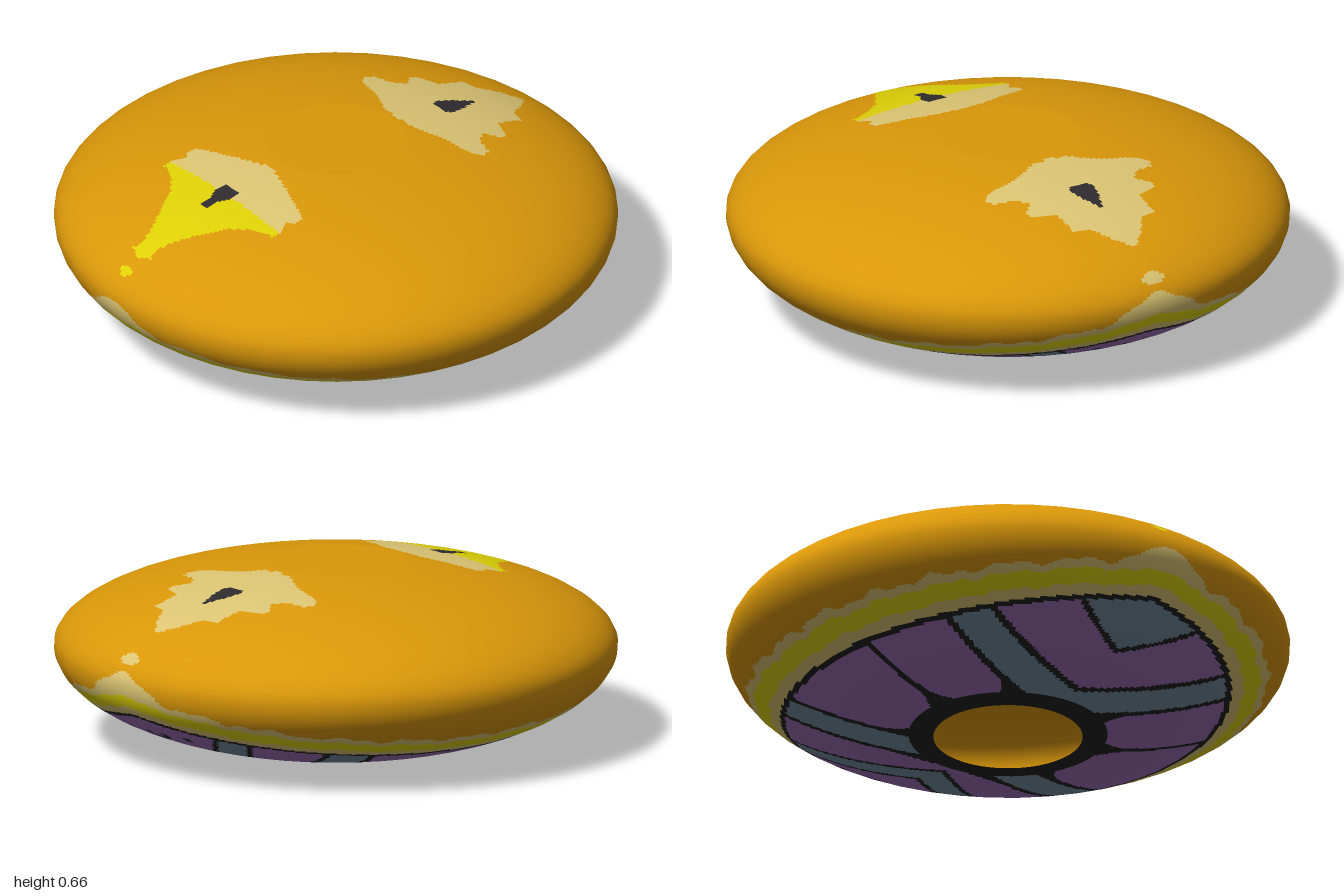
import * as THREE from 'three';

const SEGMENTS = 384, SIDES = 48, MID = 0.355;
const TOP_R = 0.25, HOLE_R = 0.265, TOP_H = 0.3, LOW_H = 0.369;

const material = (name, color) => {
  const m = new THREE.MeshStandardMaterial({ color, side: THREE.DoubleSide });
  m.name = name;
  return m;
};

// Heights of the flattened upper and lower bowls at radius r
const upperY = r => MID + TOP_H * Math.sqrt(Math.max(0, 1 - r * r)) + 0.15 * Math.max(0, 0.33 - r);
const lowerY = r => MID - LOW_H * Math.sqrt(Math.max(0, 1 - r * r));

// Profile from the edge of the bottom hole, round the rim, to the flat top
function profile() {
  const points = [];
  const a = Math.acos(HOLE_R), b = Math.acos(TOP_R), n = 84, m = 86;
  for (let i = 0; i < n; i++) {
    const f = a * (1 - i / n), r = Math.cos(f);
    points.push({ r, y: Math.max(0, lowerY(r)), nr: r, ny: -Math.sin(f) / LOW_H });
  }
  for (let i = 0; i <= m; i++) {
    const f = b * i / m, r = Math.cos(f);
    points.push({ r, y: upperY(r), nr: r, ny: Math.sin(f) / TOP_H });
  }
  return points;
}

// Half outlines of the top patches as [x, z], mirrored across z
const LEFT_PATCH = [[0.27, 0], [0.275, 0.07], [0.33, 0.19], [0.36, 0.32], [0.4, 0.345], [0.43, 0.33],
  [0.45, 0.25], [0.49, 0.22], [0.54, 0.27], [0.57, 0.25], [0.59, 0.17], [0.7, 0.17], [0.72, 0.1],
  [0.79, 0.06], [0.84, 0]];
const LEFT_SPOT = [[0.46, 0], [0.46, 0.03], [0.48, 0.05], [0.53, 0.04], [0.58, 0.018], [0.64, 0]];
const RIGHT_PATCH = [[-0.29, 0], [-0.33, 0.14], [-0.39, 0.31], [-0.42, 0.315], [-0.45, 0.29], [-0.5, 0.32],
  [-0.53, 0.31], [-0.55, 0.24], [-0.61, 0.17], [-0.7, 0.11], [-0.8, 0.05], [-0.84, 0.04], [-0.87, 0.05], [-0.89, 0]];
const RIGHT_SPOT = [[-0.465, 0], [-0.47, 0.04], [-0.51, 0.04], [-0.55, 0.02], [-0.59, 0.015], [-0.59, 0]];

function inside(outline, x, z) {
  let hit = false;
  for (let i = 0, j = outline.length - 1; i < outline.length; j = i++) {
    const [xi, zi] = outline[i], [xj, zj] = outline[j];
    if ((zi > z) !== (zj > z) && x < (xj - xi) * (z - zi) / (zj - zi) + xi) hit = !hit;
  }
  return hit;
}

// Distance from a straight line through two plan points
const lineDistance = (x, z, [ax, az], [bx, bz]) =>
  Math.abs((x - ax) * (bz - az) - (z - az) * (bx - ax)) / Math.hypot(bx - ax, bz - az);

// Centre lines of the slate bars and of the seam between the broad purple panels
const BARS = [[[0.3, 0.285], [0.464, 0.627]], [[-0.37, 0.08], [-0.56, 0.56]]];
const SEAM = [[0, 0], [-0.225, 0.974]];

function undersidePart(x, z, r, rise) {
  if (r < 0.35 || rise > -0.012) return 'panelOutlines';

  // Nested chevrons on the left tip, with a small hook and two dots
  const v = x - 0.87 * z;
  if (v > 0.57) {
    const d = Math.hypot(x - 0.84, z);
    const hook = d > 0.03 && d < 0.055 && x < 0.845;
    return hook || Math.hypot(x - 0.82, z - 0.15) < 0.018 ? 'panelOutlines' : 'purplePanels';
  }
  if (v > 0.545) return 'panelOutlines';
  if (v > 0.41) return 'slatePanels';
  if (v > 0.383) return 'panelOutlines';

  // Slate tip on the right
  const u = -x - 0.6 * z;
  if (u > 0.68) return 'slatePanels';
  if (u > 0.655) return 'panelOutlines';

  // Slate bars and purple panels, with gaps flaring into the hub
  const flare = 0.05 * Math.max(0, (0.47 - r) / 0.12) ** 2;
  for (const [from, to] of BARS) {
    const d = lineDistance(x, z, from, to);
    if (d < 0.07) return 'slatePanels';
    if (d < 0.096 + flare) return 'panelOutlines';
  }
  return lineDistance(x, z, ...SEAM) < 0.013 + flare ? 'panelOutlines' : 'purplePanels';
}

// Which coloured part a point of the surface belongs to
function partAt(x, y, zSigned) {
  const z = Math.abs(zSigned), r = Math.hypot(x, z), a = Math.atan2(z, x);
  // Height above the underside's edge, which climbs to a point at each side
  const rise = y - (x > 0 ? 0.24 - 0.165 * z : 0.2 - 0.112 * z);
  if (rise < 0) return undersidePart(x, z, r, rise);

  // Ragged bands above the underside
  const jag = 0.007 * Math.sin(a * 23) + 0.005 * Math.sin(a * 51 + 1);
  const peak = (x > 0 ? 0.4 : 0.36) - 0.45 * z + jag;
  if (rise < 0.026 + jag * 0.4) return 'tanMarkings';
  if (rise < 0.07 + jag * 0.6) return 'yellowMarkings';
  if (rise < 0.095 + jag || y < peak) return 'tanMarkings';

  // Patches on the top
  if (y > MID) {
    if (inside(LEFT_SPOT, x, z) || inside(RIGHT_SPOT, x, z)) return 'topSpots';
    if (inside(LEFT_PATCH, x, z)) return 'tanMarkings';
    if (inside(RIGHT_PATCH, x, z)) return x < -0.5 ? 'yellowMarkings' : 'tanMarkings';
    if (x > 0 && Math.hypot(z / 0.042, (y - 0.44) / 0.018) < 1) return 'tanMarkings';
    if (x < 0 && Math.hypot(z / 0.026, (r - 0.942) / 0.015) < 1) return 'yellowMarkings';
  }
  return 'shell';
}

export function createModel() {
  const group = new THREE.Group();
  group.name = 'disc';
  const materials = {
    shell: material('orange', 0xda9709),
    tanMarkings: material('tan', 0xdcc573),
    yellowMarkings: material('yellow', 0xded106),
    topSpots: material('charcoal', 0x2f2b2e),
    panelOutlines: material('black', 0x1f1e1f),
    purplePanels: material('purple', 0x9a6cb2),
    slatePanels: material('slate', 0x738a9d),
  };

  // Surface grid with a many-sided outline and smooth normals
  const rings = profile(), positions = [], normals = [], n = new THREE.Vector3();
  const step = 2 * Math.PI / SIDES;
  for (const p of rings) {
    for (let i = 0; i <= SEGMENTS; i++) {
      const a = 2 * Math.PI * i / SEGMENTS;
      const r = p.r * Math.cos(step / 2) / Math.cos((a % step) - step / 2);
      positions.push(r * Math.cos(a), p.y, r * Math.sin(a));
      n.set(p.nr * Math.cos(a), p.ny, p.nr * Math.sin(a)).normalize();
      normals.push(n.x, n.y, n.z);
    }
  }

  // Sort the grid cells into coloured parts
  const cells = {};
  for (const name in materials) cells[name] = [];
  const row = SEGMENTS + 1;
  for (let j = 0; j < rings.length - 1; j++) {
    const r = (rings[j].r + rings[j + 1].r) / 2, y = (rings[j].y + rings[j + 1].y) / 2;
    for (let i = 0; i < SEGMENTS; i++) {
      const a = 2 * Math.PI * (i + 0.5) / SEGMENTS;
      const k = j * row + i;
      cells[partAt(r * Math.cos(a), y, r * Math.sin(a))].push(k, k + row, k + 1, k + 1, k + row, k + row + 1);
    }
  }

  const position = new THREE.Float32BufferAttribute(positions, 3);
  const normal = new THREE.Float32BufferAttribute(normals, 3);
  for (const name in materials) {
    const geometry = new THREE.BufferGeometry();
    geometry.setAttribute('position', position);
    geometry.setAttribute('normal', normal);
    geometry.setIndex(cells[name]);
    const mesh = new THREE.Mesh(geometry, materials[name]);
    mesh.name = name;
    group.add(mesh);
  }

  // Flat top; the underside stays open at its centre
  const cap = new THREE.Mesh(new THREE.CircleGeometry(TOP_R, SIDES).rotateX(-Math.PI / 2), materials.shell);
  cap.position.y = upperY(TOP_R);
  cap.name = 'flatTop';
  group.add(cap);
  return group;
}
